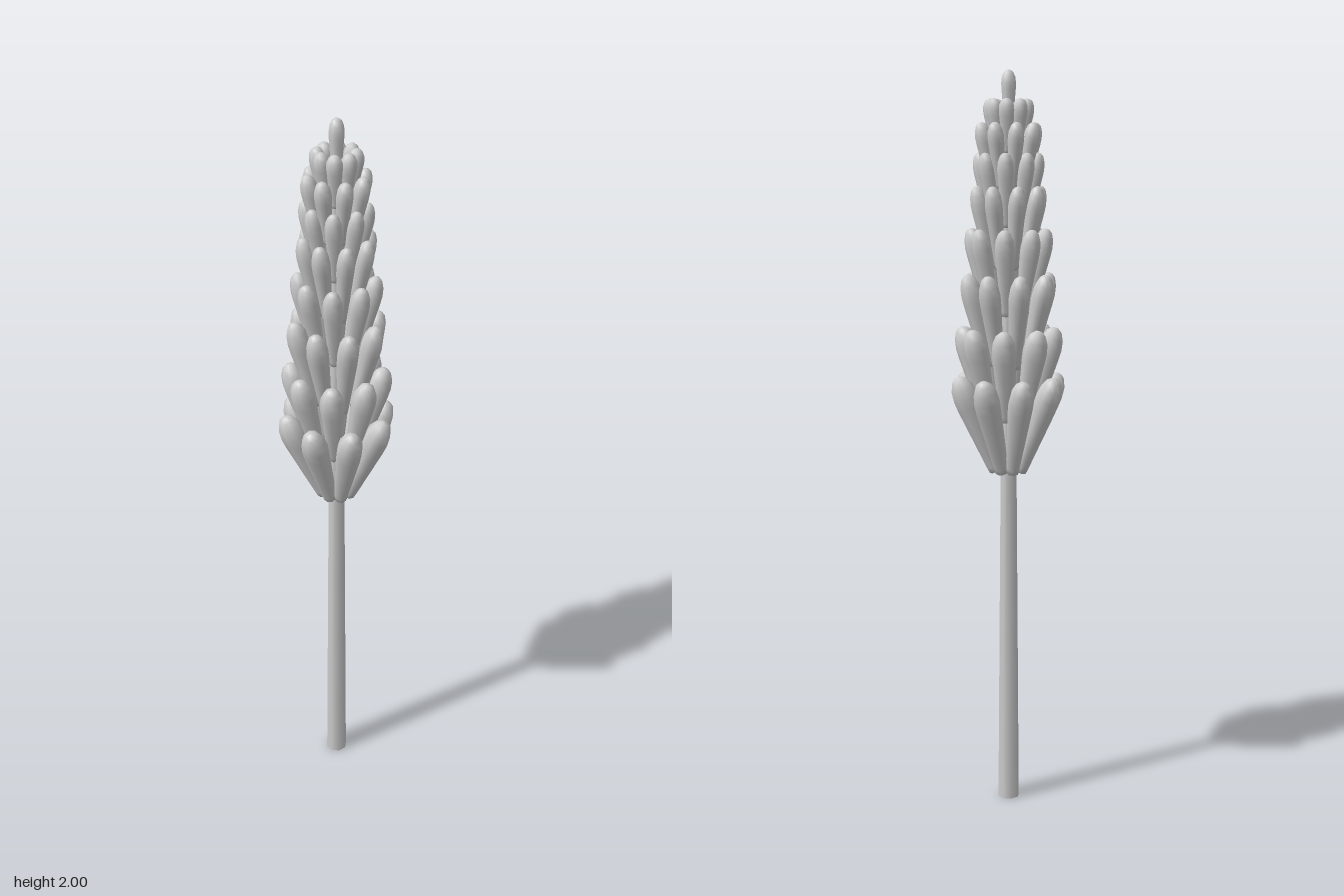
import * as THREE from 'three';

const material = new THREE.MeshStandardMaterial({ color: 0xcccccc });

// Unit bud: narrow foot, swelling to a rounded head; radius 1, height 1
const budProfile = [[0, 0], [0.5, 0], [0.56, 0.06], [0.8, 0.42], [0.97, 0.68], [1, 0.78],
  [0.9, 0.88], [0.62, 0.96], [0.3, 0.992], [0, 1]].map(([x, y]) => new THREE.Vector2(x, y));
const budGeometry = new THREE.LatheGeometry(budProfile, 8);

// Whorls, bottom to top: foot height, top height, foot radius, head radius, bud half width
const whorls = [
  [0.945, 1.205, 0.036, 0.12, 0.035],
  [1.09, 1.335, 0.06, 0.112, 0.032],
  [1.23, 1.477, 0.055, 0.102, 0.029],
  [1.37, 1.595, 0.052, 0.091, 0.026],
  [1.49, 1.705, 0.046, 0.08, 0.024],
  [1.6, 1.79, 0.044, 0.072, 0.022],
  [1.7, 1.867, 0.044, 0.069, 0.022],
  [1.79, 1.927, 0.03, 0.046, 0.021],
];

function makeBud(name, length, halfWidth) {
  const bud = new THREE.Mesh(budGeometry, material);
  bud.name = name;
  bud.scale.set(halfWidth, length, halfWidth);
  return bud;
}

export function createModel() {
  const model = new THREE.Group();
  model.name = 'flowerSpike';

  // Tapered stalk running up inside the flower head
  const stemGeometry = new THREE.CylinderGeometry(0.015, 0.03, 1.9, 8);
  const stem = new THREE.Mesh(stemGeometry, material);
  stem.name = 'stem';
  stem.position.y = 0.95;
  model.add(stem);

  // Eight leaning buds per whorl, every other whorl turned by half a step
  whorls.forEach(([footY, topY, footR, headR, halfWidth], tier) => {
    const whorl = new THREE.Group();
    whorl.name = `whorl${tier + 1}`;
    const rise = topY - footY;
    const tilt = Math.atan2(headR - footR, rise * 0.8);
    for (let i = 0; i < 8; i++) {
      const arm = new THREE.Group();
      arm.rotation.y = (i + (tier % 2) / 2) * Math.PI / 4;
      const bud = makeBud('bud', rise / Math.cos(tilt), halfWidth);
      bud.position.set(0, footY, footR);
      bud.rotation.x = tilt;
      arm.add(bud);
      whorl.add(arm);
    }
    model.add(whorl);
  });

  // Single upright bud at the tip
  const tip = makeBud('tipBud', 0.15, 0.02);
  tip.position.y = 1.85;
  model.add(tip);

  return model;
}
